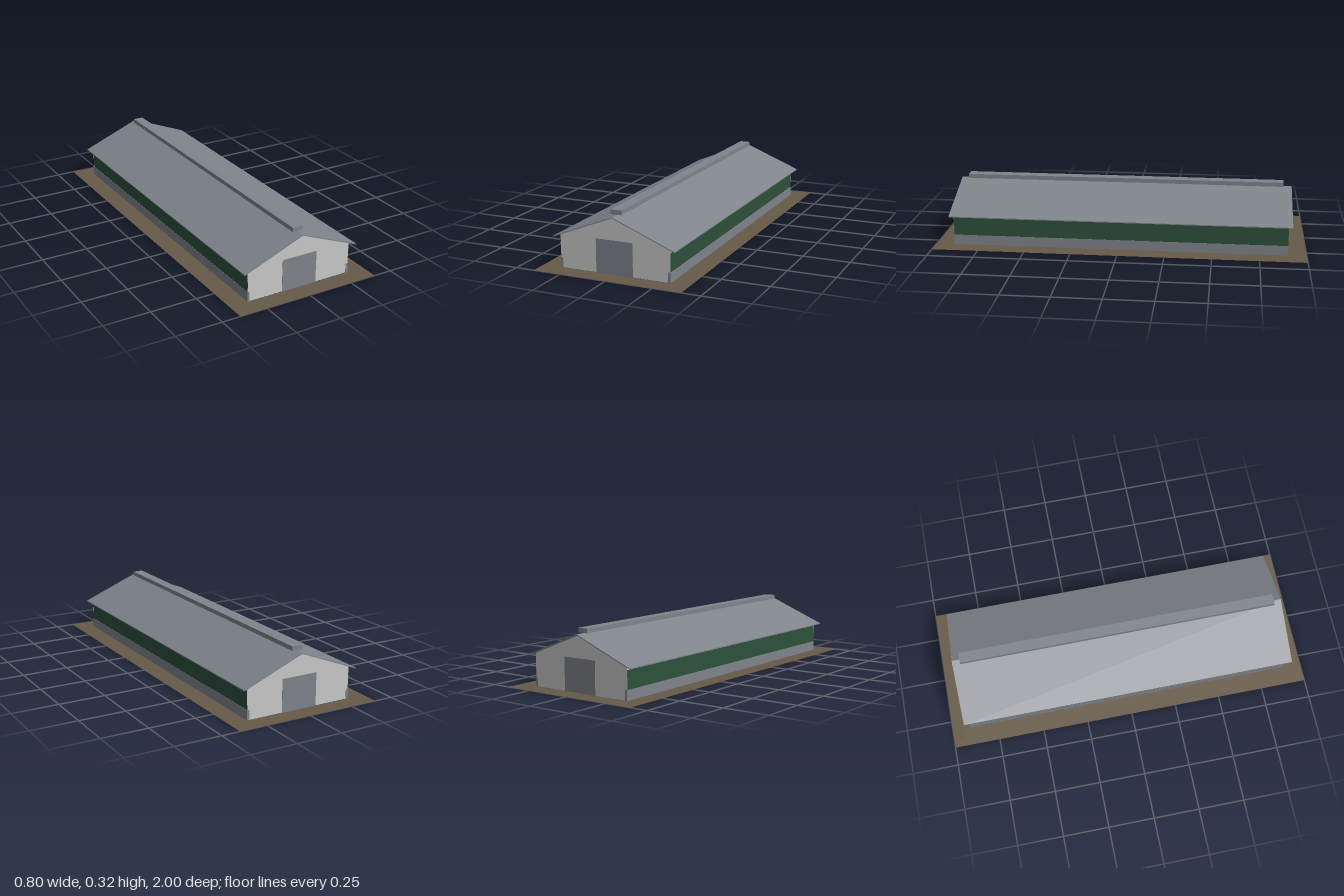
import * as THREE from 'three';

const mat = (name, color, side = THREE.FrontSide) => {
  const m = new THREE.MeshStandardMaterial({ color, side });
  m.name = name;
  return m;
};

export function createModel() {
  const group = new THREE.Group();
  const grey = mat('grey metal', 0x80858c);
  const white = mat('white wall', 0xcacaca, THREE.DoubleSide);
  const green = mat('green curtain', 0x2d503b, THREE.DoubleSide);
  const earth = mat('brown earth', 0x675a48, THREE.DoubleSide);

  const add = (name, geometry, material, x = 0, y = 0, z = 0) => {
    const mesh = new THREE.Mesh(geometry, material);
    mesh.name = name;
    mesh.position.set(x, y, z);
    group.add(mesh);
    return mesh;
  };
  const shapeOf = (pts) => new THREE.Shape(pts.map(([x, y]) => new THREE.Vector2(x, y)));
  const rect = (w, h) => [[-w, -h], [w, -h], [w, h], [-w, h]];

  // Flat earth border, open under the building
  const border = shapeOf(rect(0.4, 1));
  border.holes.push(shapeOf(rect(0.3, 0.9)));
  add('groundBorder', new THREE.ShapeGeometry(border).rotateX(-Math.PI / 2), earth);

  // Gable walls and their doors
  const gable = shapeOf([[-0.3, 0], [0.3, 0], [0.3, 0.172], [0, 0.292], [-0.3, 0.172]]);
  for (const s of [1, -1]) {
    const end = s > 0 ? 'front' : 'back';
    add(end + 'Gable', new THREE.ShapeGeometry(gable), white, 0, 0, s * 0.899);
    add(end + 'Door', new THREE.BoxGeometry(0.2, 0.175, 0.002), grey, 0, 0.0875, s * 0.901);
  }

  // Long sides: low wall, curtain and top strip
  for (const s of [1, -1]) {
    const side = s > 0 ? 'left' : 'right';
    const panel = (h) => new THREE.PlaneGeometry(1.8, h).rotateY(s * Math.PI / 2);
    add(side + 'LowWall', new THREE.BoxGeometry(0.012, 0.053, 1.802), grey, s * 0.294, 0.0265, 0);
    add(side + 'Curtain', panel(0.097), green, s * 0.299, 0.1015, 0);
    add(side + 'TopStrip', panel(0.022), white, s * 0.299, 0.161, 0);
  }

  // Thin pitched roof
  const roof = shapeOf([[-0.33, 0.16], [0, 0.292], [0.33, 0.16], [0.33, 0.165], [0, 0.297], [-0.33, 0.165]]);
  add('roof', new THREE.ExtrudeGeometry(roof, { depth: 1.84, bevelEnabled: false }), grey, 0, 0, -0.92);

  // Ridge vent
  add('ridgeVent', new THREE.BoxGeometry(0.058, 0.023, 1.75), grey, 0, 0.3105, 0);

  return group;
}
